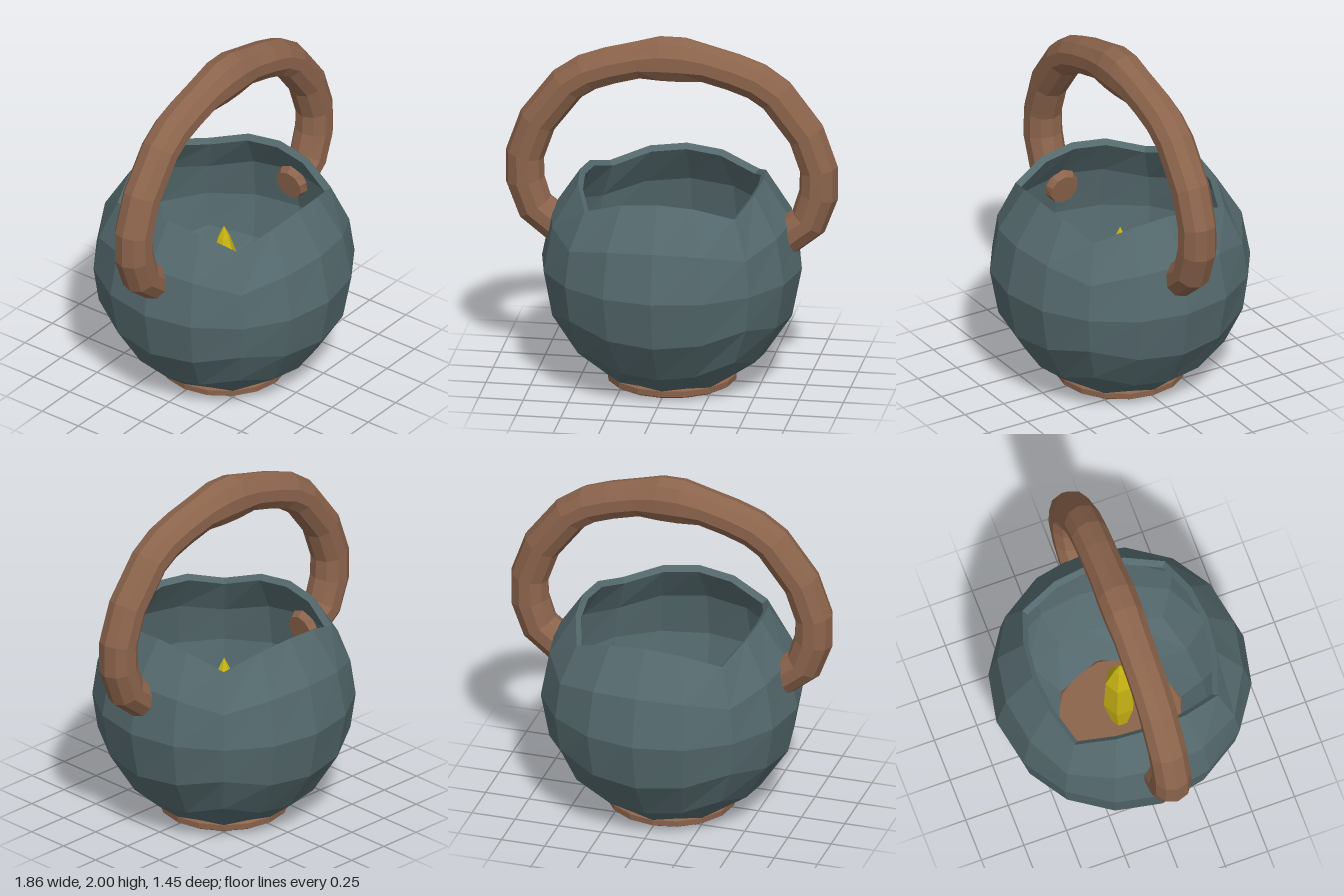
import * as THREE from 'three';

const mat = (color, side = THREE.FrontSide) =>
  new THREE.MeshStandardMaterial({ color, side, flatShading: true, roughness: 0.9 });

// Collects quads and triangles given as corner points
function facesToGeometry(faces) {
  const pos = [];
  for (const f of faces)
    for (let i = 1; i < f.length - 1; i++)
      for (const p of [f[0], f[i], f[i + 1]]) pos.push(p.x, p.y, p.z);
  const g = new THREE.BufferGeometry();
  g.setAttribute('position', new THREE.Float32BufferAttribute(pos, 3));
  g.computeVertexNormals();
  return g;
}

// Bowl: a cube-sphere with the top face left out, given a wall thickness
function bowlGeometry() {
  const N = 4, outerR = 0.727, innerR = 0.687, faces = [];
  const up = new THREE.Vector3(0, 1, 0);
  const sides = [];
  for (let k = 0; k < 4; k++) {
    const n = new THREE.Vector3(Math.round(Math.sin(k * Math.PI / 2)), 0, Math.round(Math.cos(k * Math.PI / 2)));
    sides.push({ n, a: up.clone().cross(n), b: up });
  }
  const bottom = { n: new THREE.Vector3(0, -1, 0), a: new THREE.Vector3(1, 0, 0), b: new THREE.Vector3(0, 0, 1) };

  const point = (f, i, j, r) => {
    const t = k => Math.tan((k / N - 0.5) * Math.PI / 2);
    const p = f.n.clone().addScaledVector(f.a, t(i)).addScaledVector(f.b, t(j)).normalize().multiplyScalar(r);
    p.y += 0.68;
    // round the hole in the floor onto the foot ring
    if (f === bottom && i > 0 && i < N && j > 0 && j < N) {
      const s = 0.36 / Math.hypot(p.x, p.z);
      p.set(p.x * s, r === outerR ? 0.045 : 0.058, p.z * s);
    }
    return p;
  };

  for (const f of [...sides, bottom])
    for (let i = 0; i < N; i++)
      for (let j = 0; j < N; j++) {
        const inMiddle = i > 0 && i < N - 1 && j > 0 && j < N - 1;
        if (f === bottom && inMiddle) continue;
        const quad = r => [point(f, i, j, r), point(f, i + 1, j, r), point(f, i + 1, j + 1, r), point(f, i, j + 1, r)];
        faces.push(quad(outerR), quad(innerR).reverse());
      }
  // rim
  for (const f of sides)
    for (let i = 0; i < N; i++)
      faces.push([point(f, i, N, outerR), point(f, i + 1, N, outerR), point(f, i + 1, N, innerR), point(f, i, N, innerR)]);
  return facesToGeometry(faces);
}

// Handle: rings swept along an arch, with a knuckle at the top
function handleGeometry() {
  const half = [ // x, y, radius
    [0.59, 0.865, 0.085], [0.65, 0.875, 0.107], [0.765, 0.965, 0.108], [0.82, 1.12, 0.11], [0.822, 1.27, 0.108],
    [0.752, 1.47, 0.108], [0.585, 1.69, 0.108], [0.475, 1.765, 0.108], [0.345, 1.812, 0.108],
    [0.19, 1.853, 0.108], [0.06, 1.868, 0.132]
  ];
  const path = [...half, ...half.map(([x, y, r]) => [-x, y, r]).reverse()];
  const M = 10, z = new THREE.Vector3(0, 0, 1);
  const centre = path.map(([x, y]) => new THREE.Vector3(x, y, 0));
  const rings = path.map(([, , r], i) => {
    const t = centre[Math.min(i + 1, path.length - 1)].clone().sub(centre[Math.max(i - 1, 0)]).normalize();
    const n = z.clone().cross(t);
    return Array.from({ length: M }, (_, j) => {
      const a = (j / M) * Math.PI * 2;
      return centre[i].clone().addScaledVector(n, r * Math.cos(a)).addScaledVector(z, Math.min(r, 0.115) * Math.sin(a));
    });
  });
  const faces = [];
  for (let i = 0; i < rings.length - 1; i++)
    for (let j = 0; j < M; j++) {
      const k = (j + 1) % M;
      faces.push([rings[i][j], rings[i][k], rings[i + 1][k], rings[i + 1][j]]);
    }
  faces.push([...rings[0]].reverse(), rings[rings.length - 1]);
  return facesToGeometry(faces);
}

const lathe = (points, segments) =>
  new THREE.LatheGeometry(points.map(([x, y]) => new THREE.Vector2(x, y)), segments);

export function createModel() {
  const model = new THREE.Group();
  const add = (name, geometry, material) => {
    const mesh = new THREE.Mesh(geometry, material);
    mesh.name = name;
    model.add(mesh);
  };
  const brown = mat(0x8c644c);

  add('bowl', bowlGeometry(), mat(0x54696d));
  add('handle', handleGeometry(), brown);
  // foot disc closing the floor
  add('foot', lathe([[0, 0], [0.34, 0], [0.36, 0.012], [0.362, 0.045], [0.345, 0.06], [0, 0.06]], 16), brown);
  // slim pointed piece standing inside the bowl
  add('flame', lathe([[0, 0.06], [0.05, 0.06], [0.095, 0.35], [0.085, 0.68], [0.035, 0.83], [0, 0.9]], 6), mat(0xc8b414));
  return model;
}
